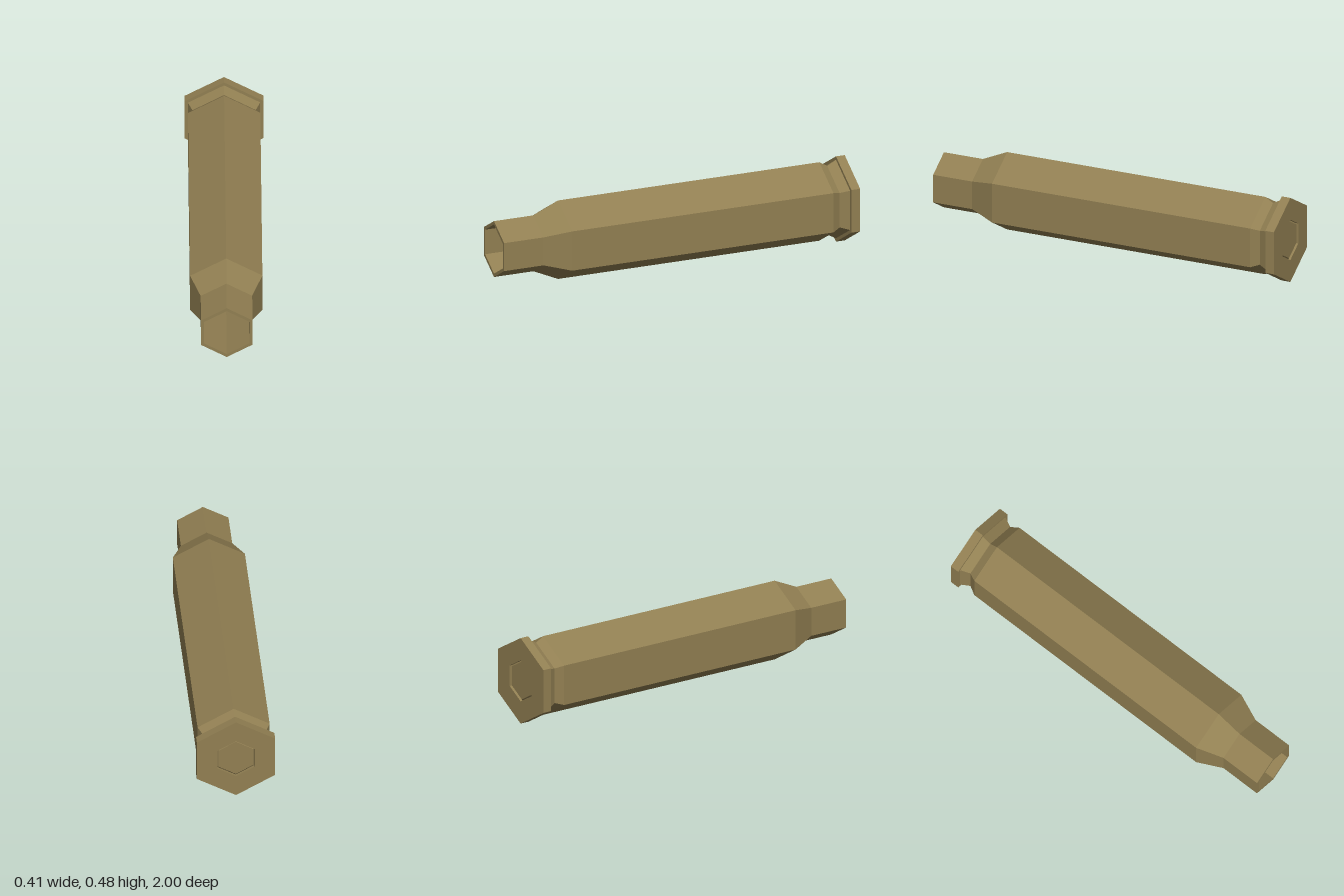
import * as THREE from 'three';

const SIDES = 6;
const CENTRE_Y = 0.238;

// Six-sided turned part along z; profile points are [radius, z]
function turned(name, profile, material) {
  const points = profile.map(([r, z]) => new THREE.Vector2(r, z));
  const geometry = new THREE.LatheGeometry(points, SIDES).toNonIndexed();
  geometry.rotateX(Math.PI / 2);
  geometry.computeVertexNormals(); // flat facets
  const mesh = new THREE.Mesh(geometry, material);
  mesh.name = name;
  return mesh;
}

export function createModel() {
  const brass = new THREE.MeshStandardMaterial({ color: 0x917f52 });
  brass.name = 'brass';

  const group = new THREE.Group();
  group.name = 'cartridgeCase';

  // Rim, extractor groove, body, shoulder, neck and hollow bore
  group.add(turned('casing', [
    [0.114, -0.985], [0.114, -1],
    [0.238, -1], [0.238, -0.95],
    [0.219, -0.95], [0.192, -0.9], [0.219, -0.855],
    [0.219, 0.635], [0.156, 0.775], [0.156, 1],
    [0.137, 1], [0.137, -0.95], [0.114, -0.95],
  ], brass));

  // Primer cap closing the pocket, with a bevelled rear edge
  group.add(turned('primer', [
    [0, -0.992], [0.105, -0.992], [0.114, -0.985],
    [0.114, -0.95], [0.105, -0.955], [0, -0.955],
  ], brass));

  group.position.y = CENTRE_Y;
  const model = new THREE.Group();
  model.add(group);
  return model;
}
